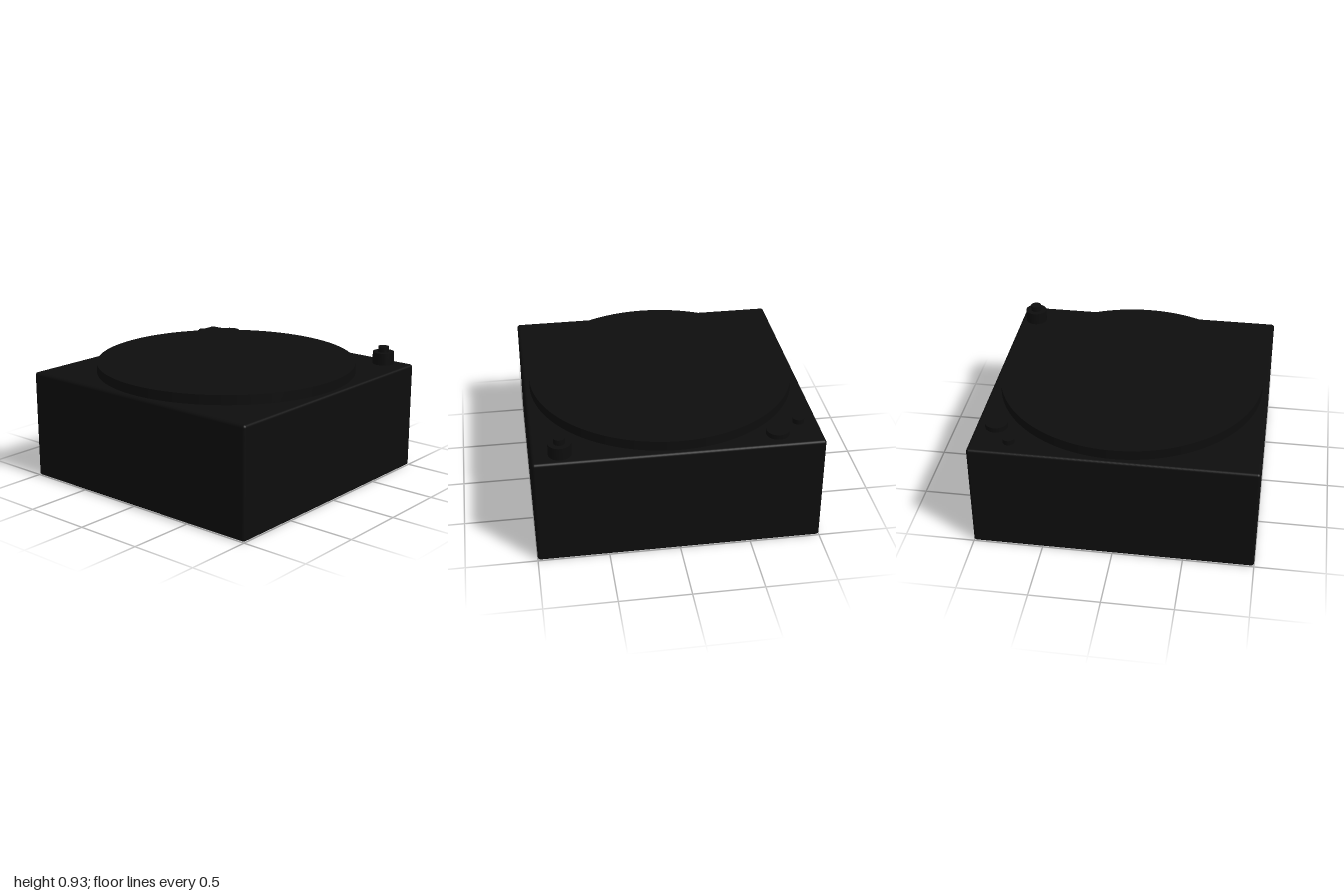
import * as THREE from 'three';
import { RoundedBoxGeometry } from 'three/addons/geometries/RoundedBoxGeometry.js';

const BASE_TOP = 0.8;

export function createModel() {
  const group = new THREE.Group();
  const black = new THREE.MeshStandardMaterial({ color: 0x0d0d0d });

  const add = (name, geometry, x, y, z) => {
    const mesh = new THREE.Mesh(geometry, black);
    mesh.name = name;
    mesh.position.set(x, y, z);
    group.add(mesh);
  };

  // Upright disc between two heights
  const disc = (name, radius, bottom, top, x, z, sides = 48) =>
    add(name, new THREE.CylinderGeometry(radius, radius, top - bottom, sides), x, (bottom + top) / 2, z);

  // Plinth with softly rounded edges
  add('plinth', new RoundedBoxGeometry(2, BASE_TOP, 2, 4, 0.02), 0, BASE_TOP / 2, 0);

  // Large round platter
  disc('platter', 0.957, BASE_TOP - 0.01, 0.87, 0, 0, 128);

  // Stepped control knob at the front corner
  disc('knobBase', 0.08, BASE_TOP - 0.01, 0.89, 0.885, 0.805);
  disc('knobCap', 0.04, 0.88, 0.93, 0.885, 0.805);

  // Low mounts at the back corner
  disc('largeMount', 0.08, BASE_TOP - 0.01, 0.835, 0.855, -0.69);
  disc('smallMount', 0.04, BASE_TOP - 0.01, 0.835, 0.73, -0.865);

  return group;
}
